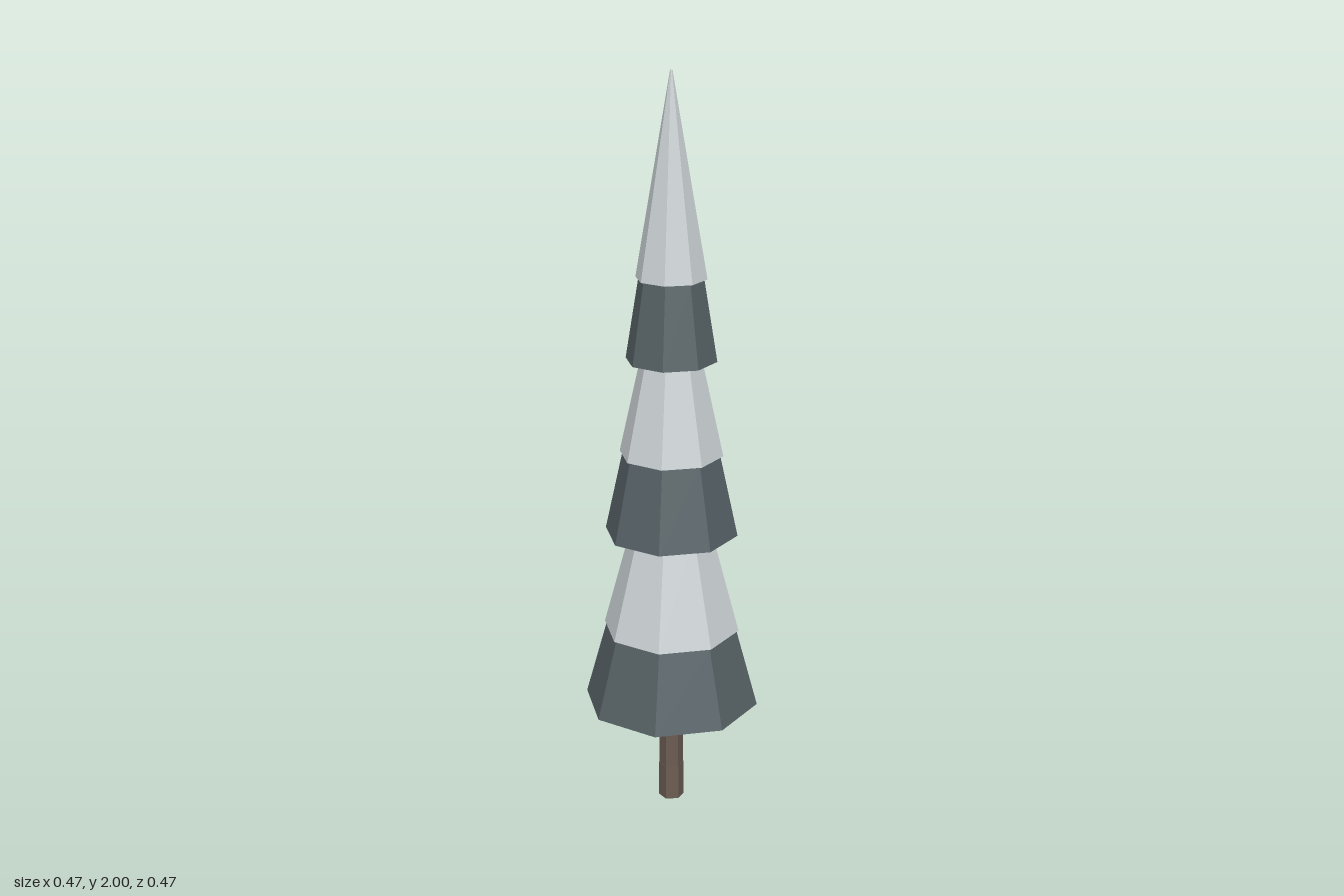
import * as THREE from 'three';

const material = (color) => new THREE.MeshStandardMaterial({ color, flatShading: true });

// Tapered prism standing on y0, with a corner on the z axis
function frustum(name, rTop, rBottom, y0, y1, sides, mat) {
  const mesh = new THREE.Mesh(new THREE.CylinderGeometry(rTop, rBottom, y1 - y0, sides), mat);
  mesh.position.y = (y0 + y1) / 2;
  mesh.name = name;
  return mesh;
}

export function createModel() {
  const tree = new THREE.Group();
  tree.name = 'snowyTree';
  const bark = material(0x6a5c52);
  const needles = material(0x566165);
  const snow = material(0xccd2d5);

  // Six-sided trunk with a slightly wider foot
  tree.add(frustum('trunk', 0.033, 0.033, 0.1, 0.32, 6, bark));
  tree.add(frustum('trunkFoot', 0.034, 0.035, 0, 0.1, 6, bark));

  // Each tier: dark skirt below, snow cap overhanging it slightly
  const tiers = [
    { name: 'lower', y: [0.3, 0.515, 0.81], skirt: [0.237, 0.178], cap: [0.184, 0.105] },
    { name: 'middle', y: [0.79, 1.01, 1.285], skirt: [0.178, 0.13], cap: [0.138, 0.077] },
    { name: 'upper', y: [1.265, 1.48, 2], skirt: [0.12, 0.085], cap: [0.093, 0.003] },
  ];
  for (const { name, y, skirt, cap } of tiers) {
    const tier = new THREE.Group();
    tier.name = name + 'Tier';
    tier.add(frustum(name + 'Branches', skirt[1], skirt[0], y[0], y[1], 8, needles));
    tier.add(frustum(name + 'Snow', cap[1], cap[0], y[1], y[2], 8, snow));
    tree.add(tier);
  }
  return tree;
}
